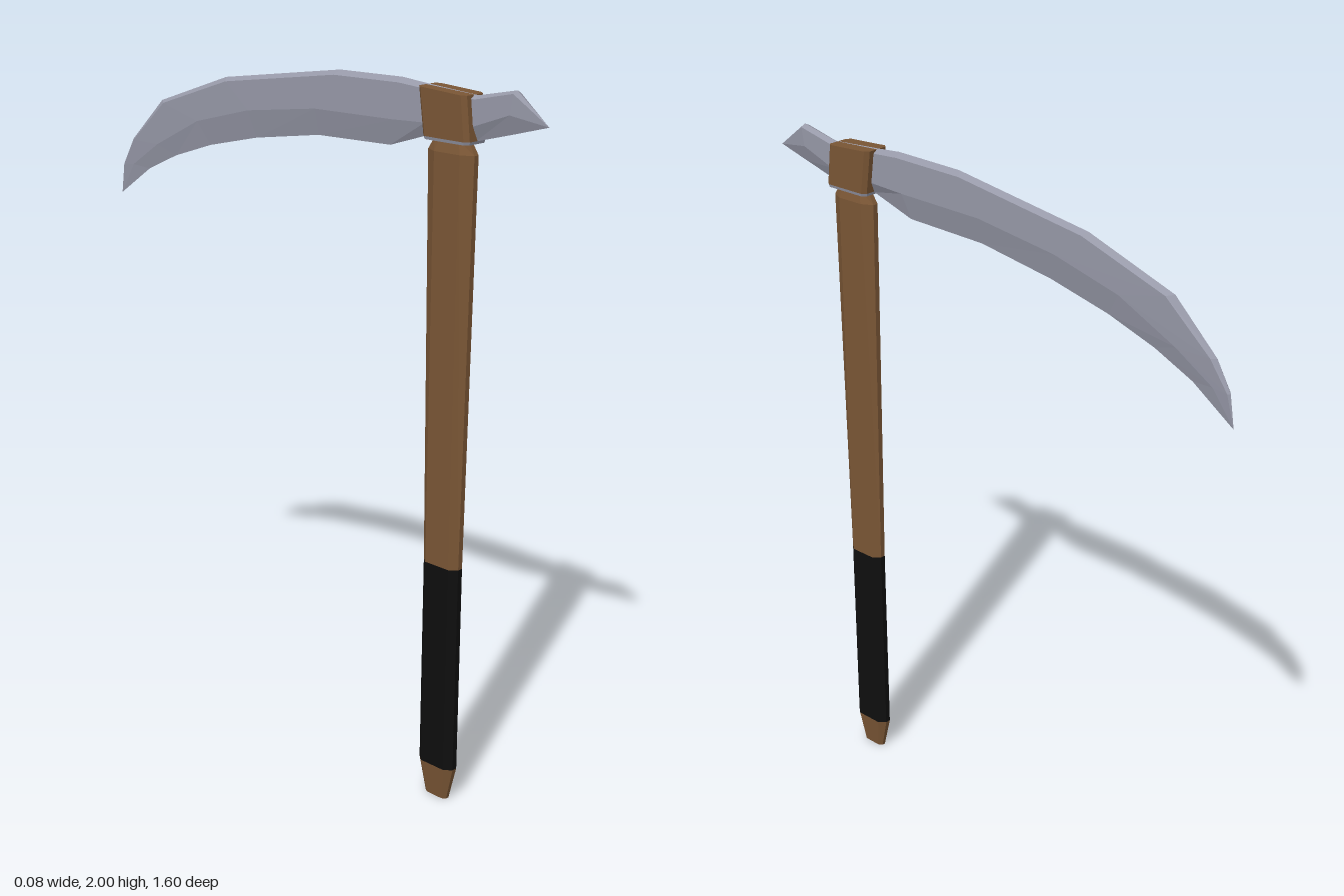
import * as THREE from 'three';

const wood = new THREE.MeshStandardMaterial({ color: 0x7a5635 });
wood.name = 'wood';
const grip = new THREE.MeshStandardMaterial({ color: 0x0e0e0e });
grip.name = 'black grip';
const steel = new THREE.MeshStandardMaterial({ color: 0x9799a8 });
steel.name = 'steel';

// Skins equal-length rings of [x, y, z] with flat facets and closes both ends
function loft(name, rings, material) {
  const pos = [];
  const tri = (a, b, c) => pos.push(...a, ...b, ...c);
  const n = rings[0].length;
  for (let r = 0; r < rings.length - 1; r++) {
    for (let i = 0; i < n; i++) {
      const j = (i + 1) % n;
      tri(rings[r][i], rings[r][j], rings[r + 1][i]);
      tri(rings[r][j], rings[r + 1][j], rings[r + 1][i]);
    }
  }
  const first = rings[0], last = rings[rings.length - 1];
  for (let i = 1; i < n - 1; i++) {
    tri(first[0], first[i + 1], first[i]);
    tri(last[0], last[i], last[i + 1]);
  }
  const geometry = new THREE.BufferGeometry();
  geometry.setAttribute('position', new THREE.Float32BufferAttribute(pos, 3));
  geometry.computeVertexNormals();
  const mesh = new THREE.Mesh(geometry, material);
  mesh.name = name;
  return mesh;
}

// Chamfered rectangle at height y: half sizes hx, hz; flats fx, fz; tilt slopes it along z
function octagon(y, hx, hz, fx, fz, cz = 0.503, tilt = 0) {
  return [[fx, hz], [hx, fz], [hx, -fz], [fx, -hz], [-fx, -hz], [-hx, -fz], [-hx, fz], [-fx, hz]]
    .map(([x, z]) => [x, y - z * tilt, cz + z]);
}

// Blade section: ridge, shoulders, widest line and cutting edge, each as [z, y]
function bladeRing([w, top, mid, low]) {
  const shoulder = top.map((v, k) => v + (mid[k] - v) * 0.12);
  const p = (x, [z, y]) => [x, y, z];
  return [p(0, top), p(w, shoulder), p(w, mid), p(0, low), p(-w, mid), p(-w, shoulder)];
}

export function createModel() {
  const group = new THREE.Group();
  group.name = 'scythe';

  // Handle: tapered butt, wrapped grip, flaring shaft
  const lower = octagon(0.1, 0.025, 0.061, 0.008, 0.041);
  const upper = octagon(0.705, 0.025, 0.061, 0.008, 0.041);
  group.add(loft('handleButt', [octagon(0, 0.013, 0.038, 0.005, 0.027), lower], wood));
  group.add(loft('handleGrip', [lower, upper], grip));
  group.add(loft('handleShaft', [
    upper,
    octagon(1.825, 0.025, 0.076, 0.008, 0.042),
    octagon(1.86, 0.015, 0.055, 0.006, 0.03),
  ], wood));

  // Head block with a thin steel plate beneath it
  group.add(loft('headBlock', [
    octagon(1.862, 0.04, 0.076, 0.03, 0.064, 0.505),
    octagon(1.98, 0.04, 0.078, 0.03, 0.066, 0.49, 0.06),
  ], wood));
  group.add(loft('headPlate', [
    octagon(1.854, 0.038, 0.074, 0.028, 0.062, 0.505),
    octagon(1.862, 0.04, 0.076, 0.03, 0.064, 0.505),
  ], steel));

  // Front spike running through the head into the curved blade
  const tip = [-0.8, 1.53], spike = [0.8, 1.922];
  const stations = [
    [0, spike, spike, spike],
    [0.015, [0.7, 2], [0.69, 1.94], [0.7, 1.894]],
    [0.015, [0.58, 1.975], [0.58, 1.9], [0.575, 1.86]],
    [0.015, [0.41, 1.987], [0.42, 1.89], [0.43, 1.86]],
    [0.015, [0.33, 1.994], [0.31, 1.885], [0.29, 1.815]],
    [0.015, [0.11, 1.99], [0.03, 1.88], [0.03, 1.808]],
    [0.015, [-0.33, 1.925], [-0.23, 1.845], [-0.21, 1.77]],
    [0.014, [-0.605, 1.83], [-0.44, 1.79], [-0.4, 1.725]],
    [0.011, [-0.74, 1.7], [-0.62, 1.7], [-0.55, 1.675]],
    [0.007, [-0.785, 1.62], [-0.735, 1.625], [-0.67, 1.62]],
    [0, tip, tip, tip],
  ];
  group.add(loft('blade', stations.map(bladeRing), steel));

  return group;
}
